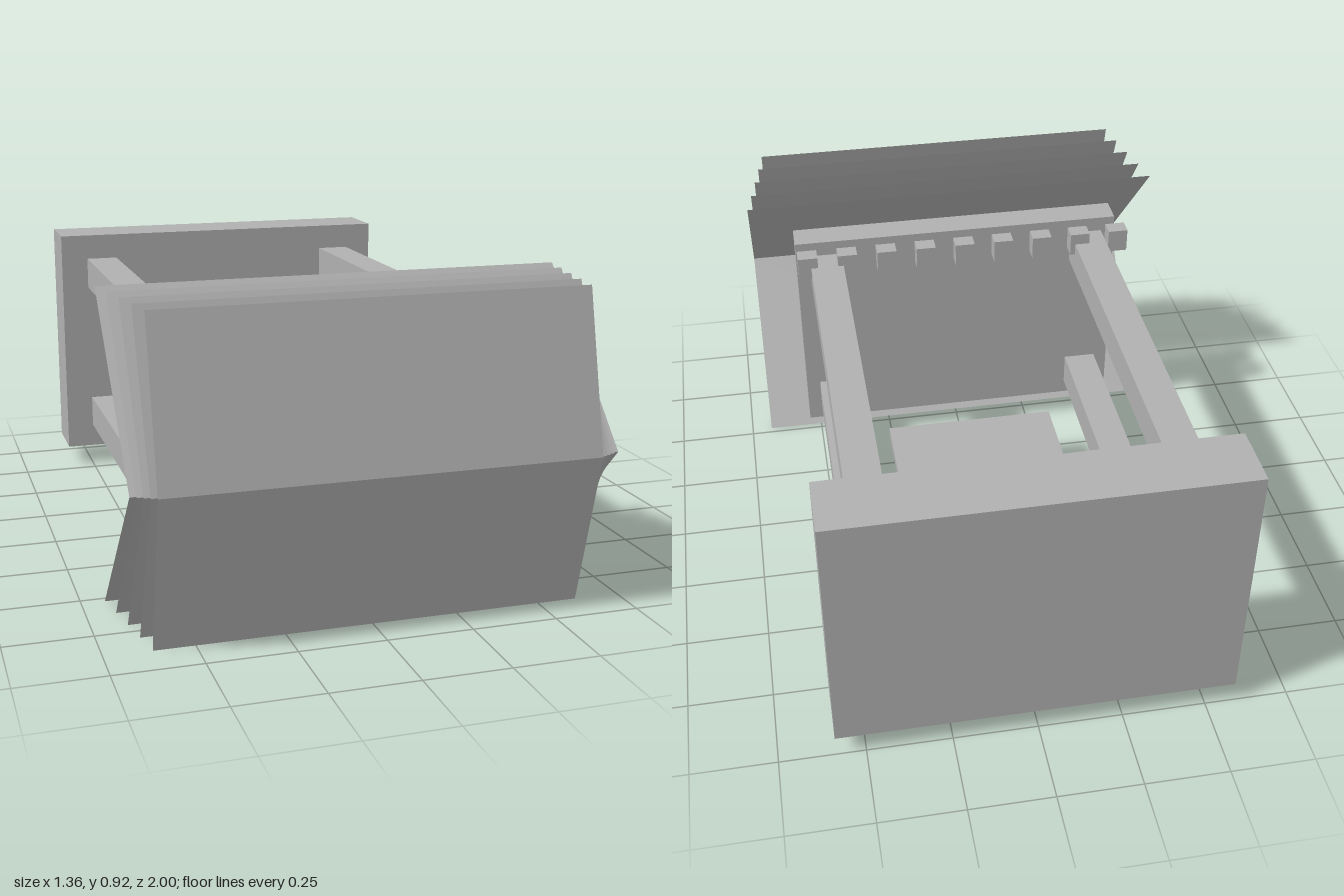
import * as THREE from 'three';

export function createModel() {
  const root = new THREE.Group();
  const grey = new THREE.MeshStandardMaterial({ color: 0xb0b0b0, side: THREE.DoubleSide });
  grey.name = 'plain grey';

  const add = (name, geometry) => {
    const mesh = new THREE.Mesh(geometry, grey);
    mesh.name = name;
    root.add(mesh);
    return mesh;
  };
  // Box given by its extents on each axis
  const box = (name, [x0, x1], [y0, y1], [z0, z1]) =>
    add(name, new THREE.BoxGeometry(x1 - x0, y1 - y0, z1 - z0))
      .position.set((x0 + x1) / 2, (y0 + y1) / 2, (z0 + z1) / 2);

  // End panels
  box('backPanel', [-0.587, 0.587], [0.067, 0.856], [-1, -0.807]);
  box('frontPanel', [-0.54, 0.54], [0.097, 0.82], [0.435, 0.528]);

  // Four connecting rails
  for (const s of [-1, 1]) {
    for (const [name, y] of [['lowerRail', 0.199], ['upperRail', 0.718]]) {
      box(name, [s * 0.442 - 0.053, s * 0.442 + 0.053], [y - 0.053, y + 0.053], [-0.807, 0.435]);
    }
  }

  // Row of small blocks behind the front panel
  for (let i = 0; i < 9; i++) {
    const x = -0.535 + i * 0.13;
    box('smallBlock', [x - 0.032, x + 0.032], [0.732, 0.808], [0.358, 0.41]);
  }

  // Tray with its underside pad and side tabs
  box('tray', [-0.28, 0.28], [0.16, 0.2], [-0.665, 0.197]);
  box('trayPad', [-0.225, 0.225], [0.13, 0.16], [-0.6, 0]);
  for (const s of [-1, 1]) {
    box('trayTab', [s * 0.24 - 0.03, s * 0.24 + 0.03], [0.11, 0.16], [-0.417, -0.36]);
  }

  // Open tapered ring below the tray
  add('taperedRing', new THREE.CylinderGeometry(0.14, 0.108, 0.027, 32, 1, true))
    .position.set(0, 0.087, -0.112);

  // Fan of thin folded sheets, each a V with its crease at the front
  for (let i = 0; i < 5; i++) {
    const t = i / 4;
    const w = 0.682 - 0.065 * t;
    const edgeZ = 0.522 + 0.364 * t;
    const creaseZ = 0.965 + 0.035 * t;
    const sheet = new THREE.BufferGeometry();
    sheet.setAttribute('position', new THREE.Float32BufferAttribute([
      -w, 0, edgeZ, w, 0, edgeZ,
      -w, 0.458, creaseZ, w, 0.458, creaseZ,
      -w, 0.915, edgeZ, w, 0.915, edgeZ,
    ], 3));
    sheet.setIndex([0, 1, 3, 0, 3, 2, 2, 3, 5, 2, 5, 4]);
    const flat = sheet.toNonIndexed();
    flat.computeVertexNormals();
    add('foldedSheet', flat);
  }

  return root;
}
